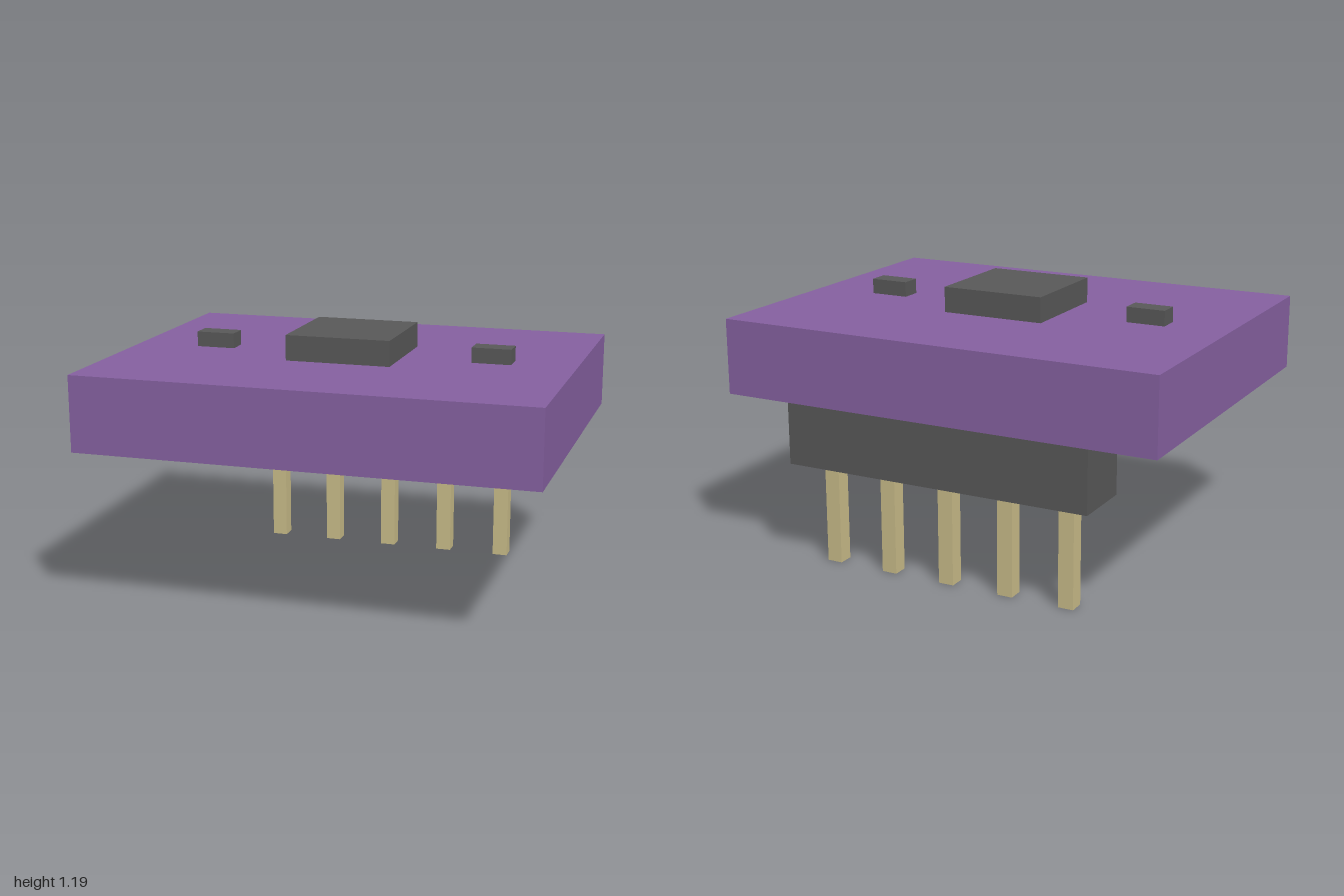
import * as THREE from 'three';

export function createModel() {
  const group = new THREE.Group();
  const material = (name, color) => {
    const m = new THREE.MeshStandardMaterial({ color });
    m.name = name;
    return m;
  };
  const purple = material('purple board', 0x8560a0);
  const grey = material('dark grey plastic', 0x585858);
  const gold = material('pale gold metal', 0xc8bb88);

  // Box standing on height y
  const box = (name, mat, [w, h, d], [x, y, z]) => {
    const mesh = new THREE.Mesh(new THREE.BoxGeometry(w, h, d), mat);
    mesh.name = name;
    mesh.position.set(x, y + h / 2, z);
    group.add(mesh);
  };

  const boardBottom = 0.742, boardTop = 1.075;
  const headerBottom = 0.463, headerZ = -0.622;

  // Circuit board
  box('board', purple, [2, boardTop - boardBottom, 1.556], [0, boardBottom, 0]);

  // Parts on top of the board
  box('chip', grey, [0.466, 0.112, 0.466], [0, boardTop, 0]);
  for (const side of [-1, 1]) {
    box(side > 0 ? 'leftComponent' : 'rightComponent', grey,
      [0.174, 0.067, 0.092], [side * 0.633, boardTop, 0]);
  }

  // Pin header under the back edge
  box('header', grey, [1.41, boardBottom - headerBottom, 0.282], [0, headerBottom, headerZ]);
  for (let i = -2; i <= 2; i++) {
    box(`pin${i + 3}`, gold, [0.069, headerBottom, 0.069], [i * 0.282, 0, headerZ]);
  }
  return group;
}
